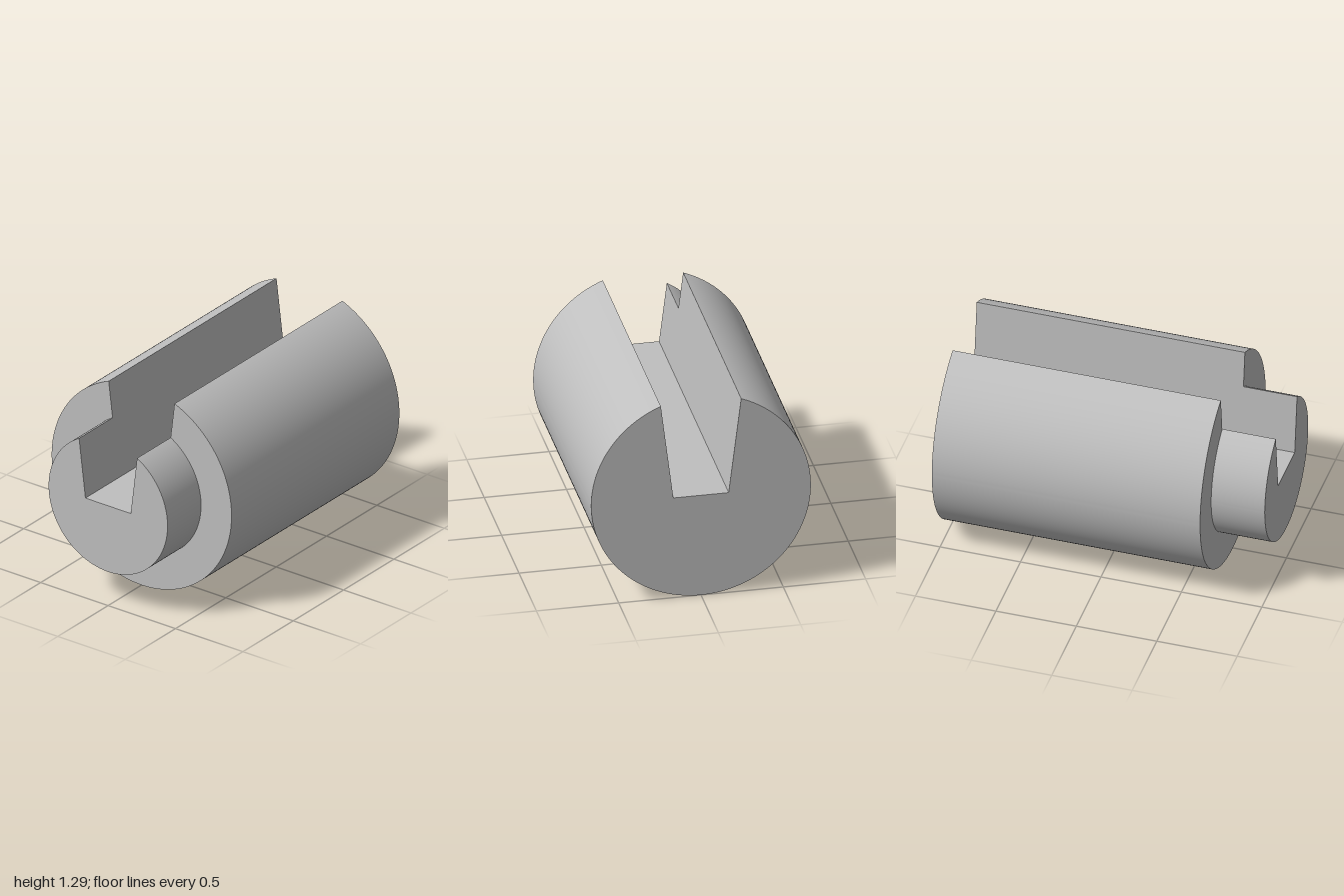
import * as THREE from 'three';
import { toCreasedNormals } from 'three/addons/utils/BufferGeometryUtils.js';

const AXIS_Y = 0.667;      // height of the shaft axis, also the slot floor
const FLOOR_HALF = 0.168;  // half width of the slot floor
const FLARE = 0.1228;      // outward lean of the slot walls (about 7 degrees)

// Round bar along z with a flared keyway cut down to its axis
function slottedBar(name, radius, zBack, zFront, material) {
  // height above the axis where the slot wall meets the circle
  const a = 1 + FLARE * FLARE;
  const b = FLOOR_HALF * FLARE;
  const rise = (-b + Math.sqrt(b * b - a * (FLOOR_HALF ** 2 - radius ** 2))) / a;
  const angle = Math.atan2(rise, FLOOR_HALF + FLARE * rise);

  const shape = new THREE.Shape();
  shape.moveTo(-FLOOR_HALF, 0);
  shape.lineTo(FLOOR_HALF, 0);
  shape.absarc(0, 0, radius, angle, Math.PI - angle, true);
  shape.closePath();

  const extruded = new THREE.ExtrudeGeometry(shape, {
    depth: zFront - zBack, bevelEnabled: false, curveSegments: 96,
  });
  const mesh = new THREE.Mesh(toCreasedNormals(extruded, 0.5), material);
  mesh.name = name;
  mesh.position.set(0, AXIS_Y, zBack);
  return mesh;
}

export function createModel() {
  const group = new THREE.Group();
  group.name = 'slottedShaft';
  const steel = new THREE.MeshStandardMaterial({ color: 0xbfbfbf });
  steel.name = 'steel grey';

  group.add(slottedBar('mainBody', 0.667, -1, 0.667, steel));
  group.add(slottedBar('frontSpigot', 0.441, 0.667, 1, steel));
  return group;
}
